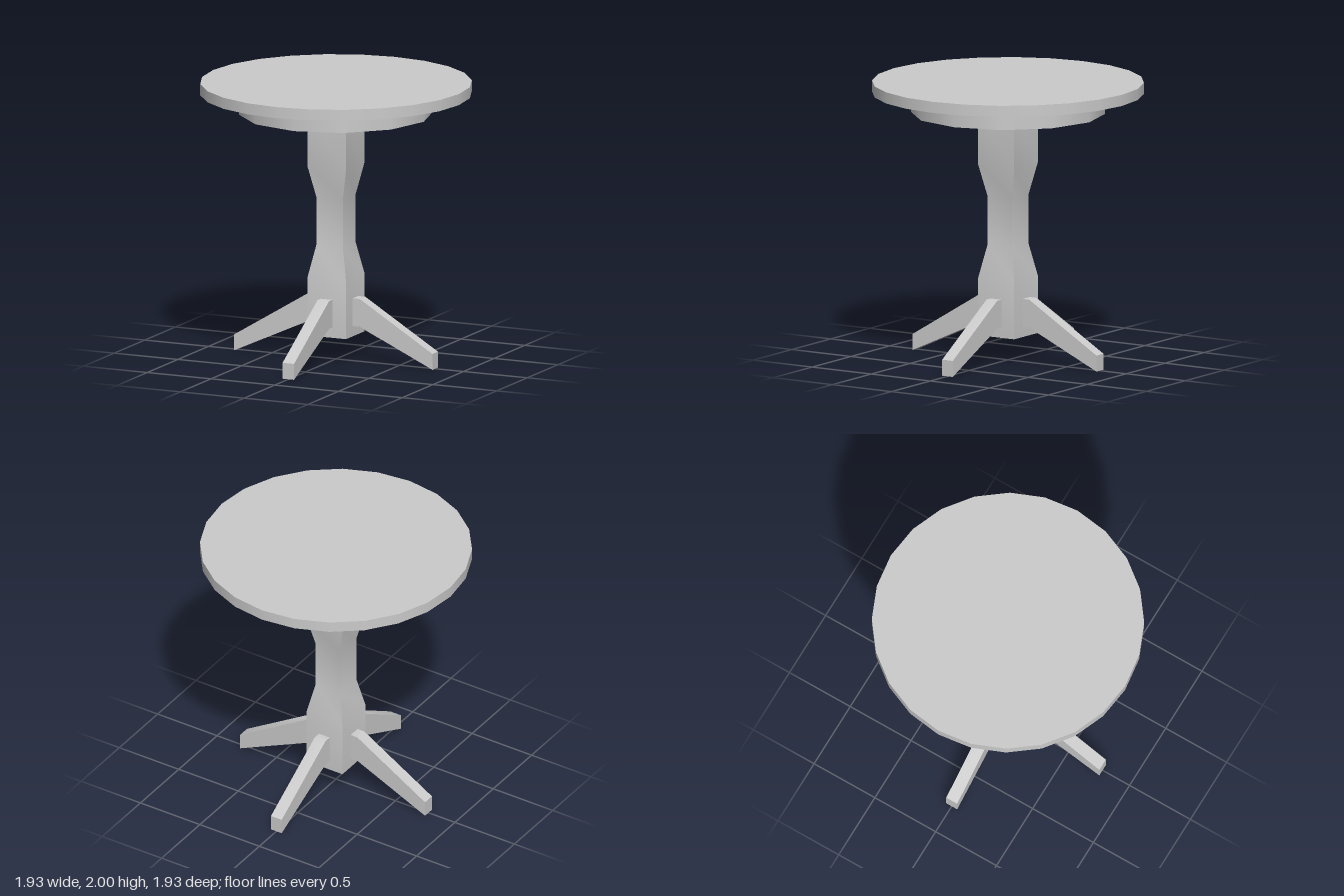
import * as THREE from 'three';
import { toCreasedNormals } from 'three/addons/utils/BufferGeometryUtils.js';

const CREASE = 0.6; // smooths gentle bends, keeps corners sharp

export function createModel() {
  const group = new THREE.Group();
  const material = new THREE.MeshStandardMaterial({ color: 0xcccccc });

  const add = (name, geometry) => {
    const mesh = new THREE.Mesh(geometry, material);
    mesh.name = name;
    group.add(mesh);
    return mesh;
  };

  // Round disc between two heights
  const disc = (name, radius, bottom, top, sides) => {
    const mesh = add(name, new THREE.CylinderGeometry(radius, radius, top - bottom, sides));
    mesh.position.y = (bottom + top) / 2;
  };
  disc('tableTop', 0.963, 1.92, 2, 24);
  disc('topSupport', 0.688, 1.775, 1.92, 12);

  // Square column with a narrowed waist: [half width, height]
  const profile = [
    [0, 0.185], [0.152, 0.185], [0.152, 0.6], [0.104, 0.835],
    [0.104, 1.18], [0.152, 1.41], [0.152, 1.775], [0, 1.775],
  ].map(([w, y]) => new THREE.Vector2(w * Math.SQRT2, y));
  const column = new THREE.LatheGeometry(profile, 4).rotateY(Math.PI / 4);
  add('column', toCreasedNormals(column, CREASE));

  // Four splayed legs, one on each column face
  const thickness = 0.09;
  const outline = new THREE.Shape([
    [0.15, 0.26], [0.208, 0.26], [0.778, 0], [0.778, 0.115], [0.208, 0.46], [0.15, 0.46],
  ].map(([x, y]) => new THREE.Vector2(x, y)));
  const leg = toCreasedNormals(
    new THREE.ExtrudeGeometry(outline, { depth: thickness, bevelEnabled: false })
      .translate(0, 0, -thickness / 2),
    CREASE,
  );
  ['leftLeg', 'backLeg', 'rightLeg', 'frontLeg'].forEach((name, i) => {
    add(name, leg).rotation.y = (i * Math.PI) / 2;
  });

  return group;
}
